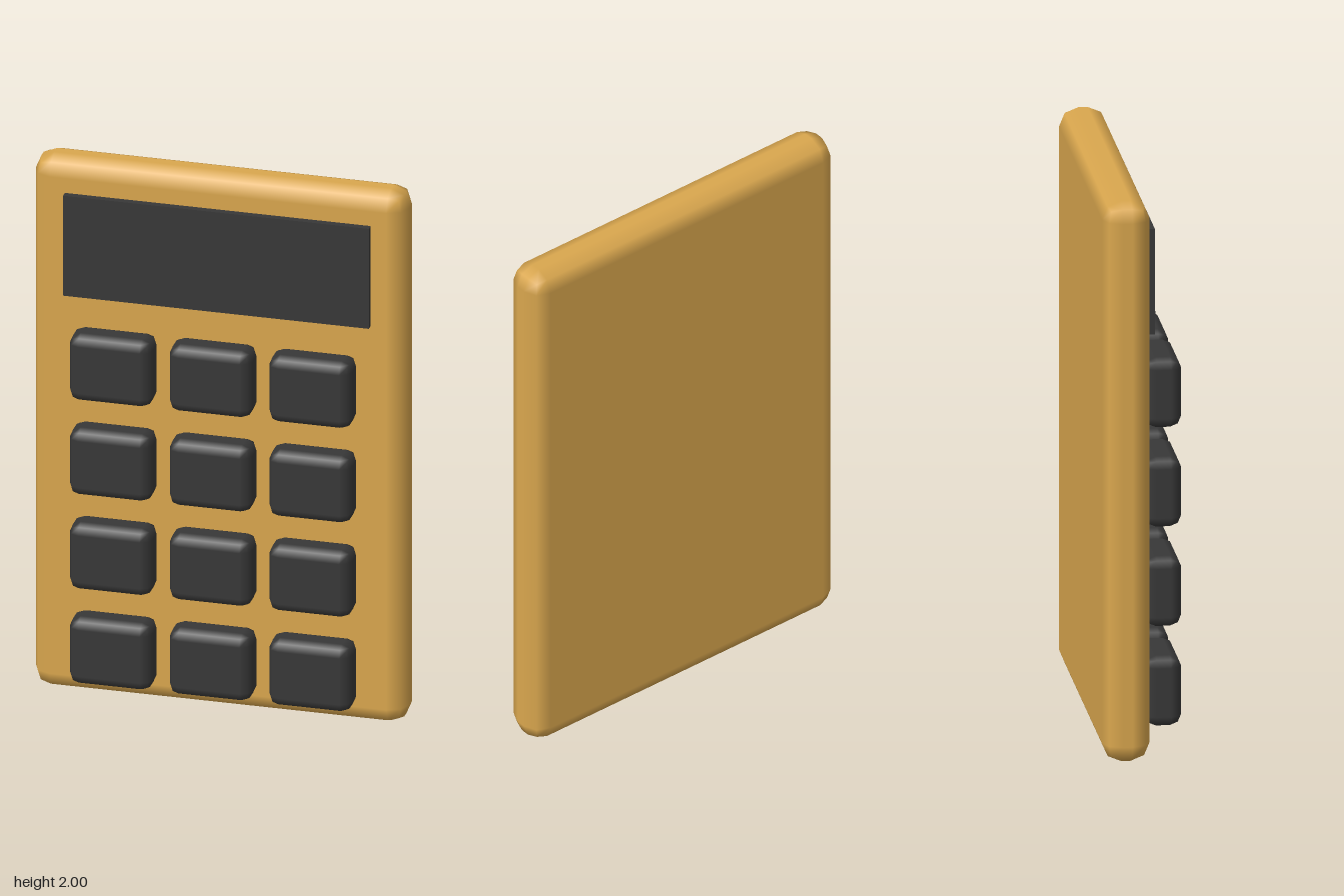
import * as THREE from 'three';
import { RoundedBoxGeometry } from 'three/addons/geometries/RoundedBoxGeometry.js';

export function createModel() {
  const gold = new THREE.MeshStandardMaterial({ name: 'gold', color: 0xdaa74e });
  const charcoal = new THREE.MeshStandardMaterial({ name: 'charcoal', color: 0x383838 });

  const model = new THREE.Group();
  model.name = 'calculator';

  const add = (name, geometry, material, x, y, z, parent = model) => {
    const mesh = new THREE.Mesh(geometry, material);
    mesh.name = name;
    mesh.position.set(x, y, z);
    parent.add(mesh);
    return mesh;
  };

  // Flat case with softly bevelled edges
  add('case', new RoundedBoxGeometry(1.33, 2, 0.165, 1, 0.066), gold, 0, 1, -0.0625);

  // Display panel, slightly raised from the case
  add('screen', new THREE.BoxGeometry(1.088, 0.376, 0.035), charcoal, 0, 1.692, 0.0275);

  // Keypad: four rows of three rounded keys
  const keypad = new THREE.Group();
  keypad.name = 'keypad';
  model.add(keypad);
  const keyShape = new RoundedBoxGeometry(0.295, 0.25, 0.125, 1, 0.038);
  const pitch = 0.355;
  for (let row = 0; row < 4; row++) {
    for (let col = -1; col <= 1; col++) {
      add(`key${row * 3 + col + 2}`, keyShape, charcoal, col * pitch, 1.275 - row * pitch, 0.0825, keypad);
    }
  }
  return model;
}
